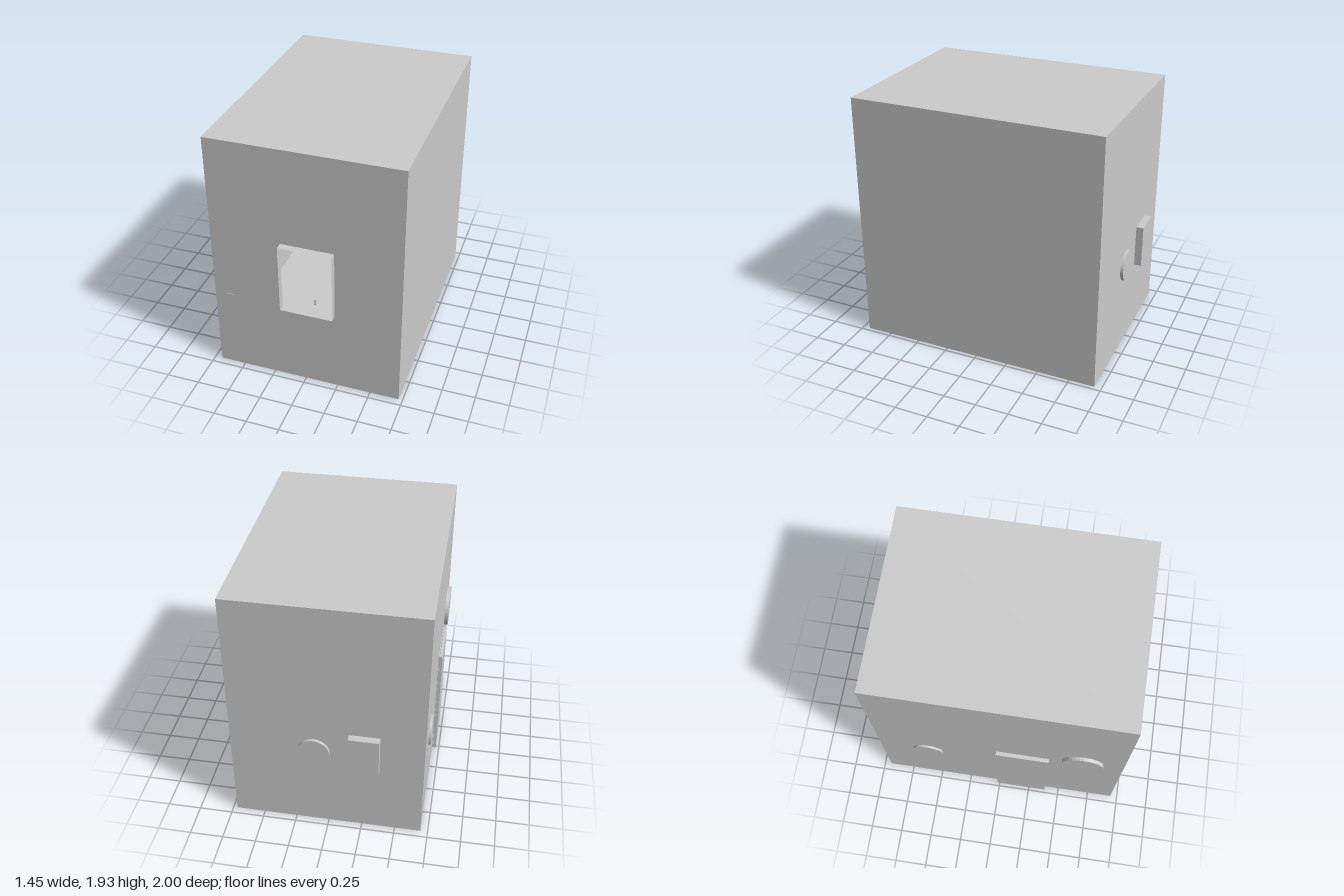
import * as THREE from 'three';

const material = new THREE.MeshStandardMaterial({ color: 0xcccccc, side: THREE.DoubleSide });
const X0 = -0.695, X1 = 0.72, Z = 0.945, H = 1.93;

function add(parent, name, geometry, x = 0, y = 0, z = 0) {
  const mesh = new THREE.Mesh(geometry, material);
  mesh.name = name;
  mesh.position.set(x, y, z);
  parent.add(mesh);
  return mesh;
}

// Box given by its low and high corners
function addBox(parent, name, [x0, y0, z0], [x1, y1, z1]) {
  return add(parent, name, new THREE.BoxGeometry(x1 - x0, y1 - y0, z1 - z0),
    (x0 + x1) / 2, (y0 + y1) / 2, (z0 + z1) / 2);
}

const rect = (x0, y0, x1, y1) =>
  [[x0, y0], [x1, y0], [x1, y1], [x0, y1]].map(p => new THREE.Vector2(...p));

function circle(cx, cy, r, n = 32) {
  return Array.from({ length: n }, (_, i) => {
    const a = i / n * Math.PI * 2;
    return new THREE.Vector2(cx + r * Math.cos(a), cy + r * Math.sin(a));
  });
}

// Thin band that carries an outline outward from the wall
function bandGeometry(points, depth) {
  const pos = [];
  points.forEach((p, i) => {
    const q = points[(i + 1) % points.length];
    pos.push(p.x, p.y, 0, q.x, q.y, 0, q.x, q.y, depth);
    pos.push(p.x, p.y, 0, q.x, q.y, depth, p.x, p.y, depth);
  });
  const g = new THREE.BufferGeometry();
  g.setAttribute('position', new THREE.Float32BufferAttribute(pos, 3));
  g.computeVertexNormals();
  return g;
}

// Thin wall with openings; each opening is a shallow bay, closed unless open is set
function makeWall(name, x0, x1, bays) {
  const wall = new THREE.Group();
  wall.name = name;
  const shape = new THREE.Shape(rect(x0, 0, x1, H));
  for (const { label, points, depth, open } of bays) {
    shape.holes.push(new THREE.Path(points));
    add(wall, label + 'Sides', bandGeometry(points, depth));
    if (!open) add(wall, label + 'Pane', new THREE.ShapeGeometry(new THREE.Shape(points)), 0, 0, depth);
  }
  add(wall, name + 'Panel', new THREE.ShapeGeometry(shape));
  return wall;
}

export function createModel() {
  const model = new THREE.Group();
  model.name = 'room';

  // Front wall with the open window
  const front = makeWall('frontWall', X0, X1, [
    { label: 'window', points: rect(-0.165, 0.65, 0.23, 1.19), depth: 0.055, open: true },
  ]);
  front.position.z = Z;

  // Back wall with a square bay and a porthole
  const back = makeWall('backWall', -X1, -X0, [
    { label: 'squareBay', points: rect(0.152, 0.56, 0.375, 0.885), depth: 0.055 },
    { label: 'backPorthole', points: circle(-0.103, 0.69, 0.117), depth: 0.022 },
  ]);
  back.rotation.y = Math.PI;
  back.position.z = -Z;
  add(back, 'portholeRing', new THREE.RingGeometry(0.1, 0.117, 32), -0.103, 0.69, 0.004);

  // Side wall with the doorway and two portholes
  const side = makeWall('rightWall', -Z, Z, [
    { label: 'smallPorthole', points: circle(-0.563, 0.69, 0.117), depth: 0.017 },
    { label: 'largePorthole', points: circle(0.638, 0.985, 0.157), depth: 0.027 },
    { label: 'doorway', points: rect(-0.02, 0.002, 0.385, 0.945), depth: 0.006, open: true },
  ]);
  side.rotation.y = -Math.PI / 2;
  side.position.x = X0;

  // Plain side wall
  const plain = makeWall('leftWall', -Z, Z, []);
  plain.rotation.y = Math.PI / 2;
  plain.position.x = X1;
  model.add(front, back, side, plain);

  // Floor and ceiling
  for (const [name, y, turn] of [['floor', 0, 1], ['ceiling', H, -1]]) {
    add(model, name, new THREE.PlaneGeometry(X1 - X0, Z * 2), (X0 + X1) / 2, y, 0)
      .rotation.x = turn * Math.PI / 2;
  }

  // Door with raised inner panels and a knob
  const door = new THREE.Group();
  door.name = 'door';
  addBox(door, 'doorSlab', [-0.725, 0, -0.02], [-0.703, 0.945, 0.385]);
  for (const [z0, z1] of [[0.04, 0.13], [0.22, 0.32]]) {
    for (const [y0, y1] of [[0.1, 0.29], [0.36, 0.6], [0.65, 0.75]]) {
      addBox(door, 'doorPanel', [-0.704, y0, z0], [-0.697, y1, z1]);
    }
  }
  add(door, 'knobStem', new THREE.CylinderGeometry(0.008, 0.008, 0.03, 12), -0.69, 0.465, 0.01)
    .rotation.z = Math.PI / 2;
  add(door, 'knob', new THREE.SphereGeometry(0.018, 16, 12), -0.67, 0.465, 0.01);
  model.add(door);

  // Tall cabinet on legs, seen through the window
  const cabinet = new THREE.Group();
  cabinet.name = 'cabinet';
  addBox(cabinet, 'cabinetTop', [0.015, 0.82, -0.3], [0.205, 0.955, 0.1]);
  addBox(cabinet, 'cabinetBody', [0.065, 0, -0.28], [0.19, 0.82, 0.06]);
  addBox(cabinet, 'cabinetBack', [0.205, 0.82, -0.3], [0.22, 1.1, 0.1]);
  for (const z of [-0.3, 0.07]) {
    addBox(cabinet, 'cabinetLeg', [0.035, 0, z], [0.065, 0.82, z + 0.03]);
    addBox(cabinet, 'cabinetLeg', [0.19, 0, z], [0.22, 0.82, z + 0.03]);
  }
  model.add(cabinet);

  // Small stand with a peg, close behind the window
  addBox(model, 'standTop', [0.02, 0.61, 0.76], [0.22, 0.625, 0.92]);
  addBox(model, 'standColumn', [0.1, 0, 0.82], [0.14, 0.61, 0.86]);
  add(model, 'peg', new THREE.CylinderGeometry(0.007, 0.007, 0.05, 12), 0.045, 0.648, 0.835);

  // Thin ledge that just shows on the front wall
  addBox(model, 'ledge', [-0.605, 0.652, 0.9], [-0.553, 0.657, 0.95]);

  return model;
}
